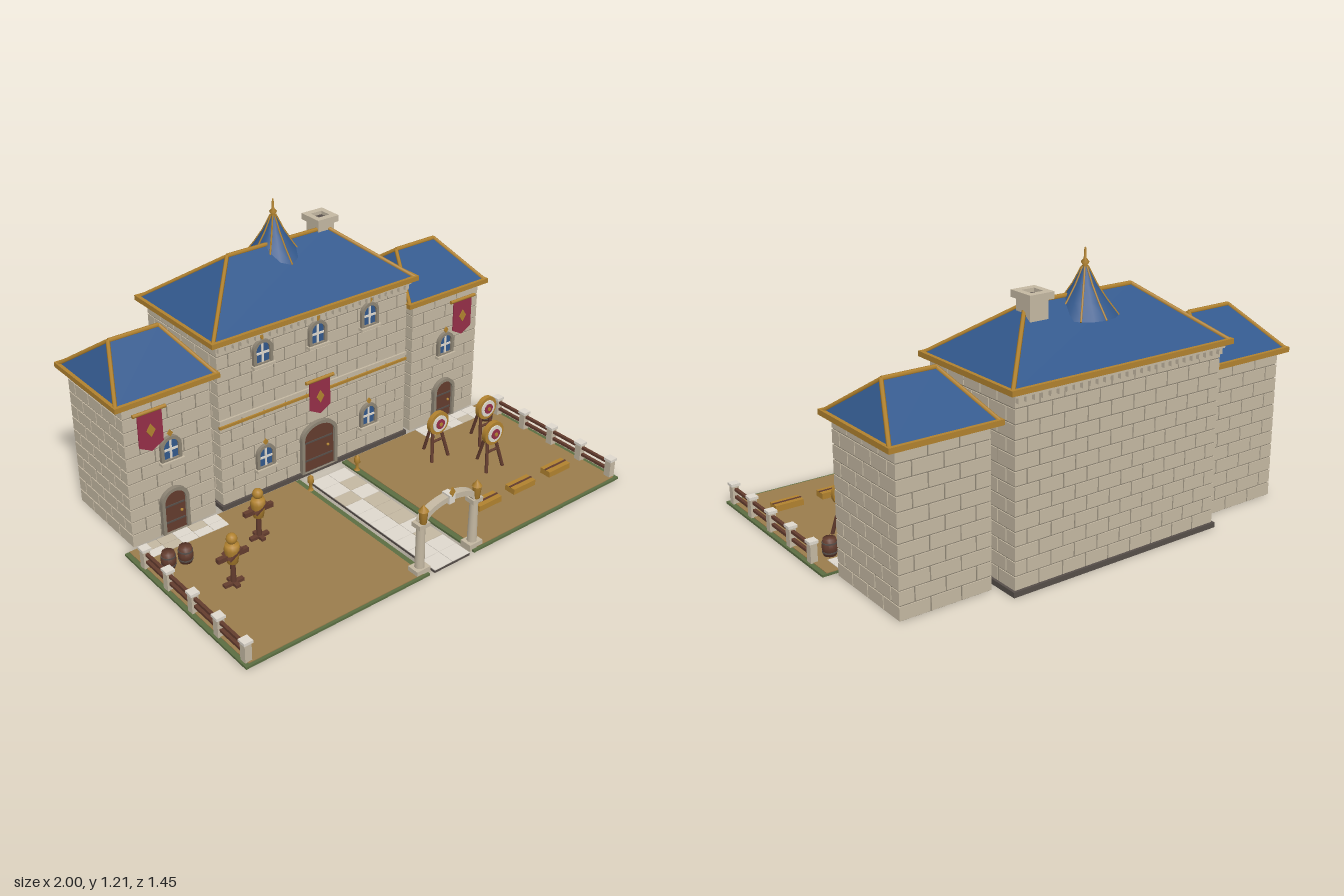
import * as THREE from 'three';
import { mergeGeometries } from 'three/addons/utils/BufferGeometryUtils.js';

const paint = (name, color) => Object.assign(new THREE.MeshStandardMaterial({ color }), { name });
const M = {
  stone: paint('stone', 0xc4b8a2), mortar: paint('mortar', 0x8d8474), dark: paint('dark slate', 0x564e49),
  roof: paint('roof blue', 0x32588c), gold: paint('gold', 0xb1822f), dirt: paint('dirt', 0x9a7c4c),
  grass: paint('grass', 0x5b6e42), wood: paint('wood', 0x633c2e), red: paint('banner red', 0x952f48),
  light: paint('pale stone', 0xded8cd),
};
M.roof.side = M.red.side = THREE.DoubleSide;

const V = (x, y, z) => new THREE.Vector3(x, y, z);
function add(parent, name, geo, mat, x = 0, y = 0, z = 0) {
  const m = new THREE.Mesh(geo, mat);
  m.name = name;
  m.position.set(x, y, z);
  parent.add(m);
  return m;
}
function group(parent, name, x = 0, y = 0, z = 0) {
  const g = new THREE.Group();
  g.name = name;
  g.position.set(x, y, z);
  parent.add(g);
  return g;
}
const box = (w, h, d) => new THREE.BoxGeometry(w, h, d);
const cyl = (a, b, h, n = 12) => new THREE.CylinderGeometry(a, b, h, n);
const lathe = (pts, n = 12) => new THREE.LatheGeometry(pts.map(p => new THREE.Vector2(...p)), n);

// Square or round bar between two points
function bar(parent, name, a, b, r, mat, sides = 6) {
  const m = add(parent, name, cyl(r, r, a.distanceTo(b), sides), mat);
  m.position.copy(a).add(b).multiplyScalar(0.5);
  m.quaternion.setFromUnitVectors(V(0, 1, 0), b.clone().sub(a).normalize());
  return m;
}

// Outline with an arched top, standing on y = base
function arch(w, h, rise, base = 0, Kind = THREE.Shape) {
  const s = new Kind();
  s.moveTo(-w / 2, base);
  s.lineTo(w / 2, base);
  s.lineTo(w / 2, h - rise);
  s.absellipse(0, h - rise, w / 2, rise, 0, Math.PI, false);
  s.closePath();
  return s;
}
const plate = (shape, depth) => new THREE.ExtrudeGeometry(shape, { depth, bevelEnabled: false, curveSegments: 10 });
const diamond = (w, h) => plate(new THREE.Shape([[0, -h], [w, 0], [0, h], [-w, 0]].map(p => new THREE.Vector2(...p))), 0.006);

// Mortar core faced with staggered blocks on all four sides
function brickBlock(parent, name, cx, cz, w, d, y0, y1) {
  const g = group(parent, name, cx, 0, cz), gap = 0.006, rows = Math.round((y1 - y0) / 0.058), rh = (y1 - y0) / rows;
  add(g, 'mortarCore', box(w - 0.008, y1 - y0, d - 0.008), M.mortar, 0, (y0 + y1) / 2, 0);
  const bricks = [];
  for (let side = 0; side < 4; side++) {
    const len = side % 2 ? d : w, off = (side % 2 ? w : d) / 2, n = Math.round(len / 0.115), bl = len / n;
    for (let r = 0; r < rows; r++) for (let i = 0; i <= n; i++) {
      const shift = r % 2 ? 0.5 : 0;
      const a = Math.max(0, (i - shift) * bl), b = Math.min(len, (i + 1 - shift) * bl);
      if (b - a < 0.01) continue;
      const lo = a === 0 ? 0 : gap / 2, hi = b === len ? 0 : gap / 2;
      const q = box(b - a - lo - hi, rh - gap, 0.008);
      q.translate((a + lo + b - hi) / 2 - len / 2, y0 + (r + 0.5) * rh, off - 0.004);
      bricks.push(q.rotateY(side * Math.PI / 2));
    }
  }
  add(g, 'wallBlocks', mergeGeometries(bricks), M.stone);
}

// Hipped roof with gold eaves, hips and ridge
function hipRoof(parent, name, cx, cz, hw, hd, ridge, y0, y1) {
  const g = group(parent, name, cx, 0, cz);
  const c = [V(-hw, y0, hd), V(hw, y0, hd), V(hw, y0, -hd), V(-hw, y0, -hd)], l = V(-ridge, y1, 0), r = V(ridge, y1, 0);
  const tris = [c[0], c[1], r, c[0], r, l, c[1], c[2], r, c[2], c[3], l, c[2], l, r, c[3], c[0], l, c[0], c[2], c[1], c[0], c[3], c[2]];
  const geo = new THREE.BufferGeometry().setFromPoints(tris);
  geo.computeVertexNormals();
  add(g, 'roofSlopes', geo, M.roof);
  c.forEach((p, i) => {
    bar(g, 'hipTrim', p, p.x < 0 ? l : r, 0.009, M.gold);
    const n = c[(i + 1) % 4], m = p.clone().add(n).multiplyScalar(0.5);
    add(g, 'eaveTrim', box(Math.abs(n.x - p.x) + 0.016, 0.022, Math.abs(n.z - p.z) + 0.016), M.gold, m.x, y0, m.z);
  });
  bar(g, 'ridgeTrim', l, r, 0.01, M.gold);
}

function windowUnit(parent, x, y, z) {
  const g = group(parent, 'window', x, y, z);
  const s = arch(0.096, 0.118, 0.045);
  s.holes.push(arch(0.068, 0.104, 0.034, 0.014, THREE.Path));
  add(g, 'windowFrame', plate(s, 0.016), M.mortar);
  add(g, 'windowGlass', plate(arch(0.07, 0.105, 0.035, 0.012), 0.006), M.roof);
  add(g, 'mullion', box(0.009, 0.09, 0.006), M.light, 0, 0.058, 0.008);
  add(g, 'crossbar', box(0.066, 0.009, 0.006), M.light, 0, 0.056, 0.008);
  add(g, 'windowSill', box(0.108, 0.012, 0.028), M.stone, 0, 0.002, 0.012);
  add(g, 'windowDiamond', diamond(0.013, 0.016), M.gold, 0, 0.132, 0.008);
}

function door(parent, x, y, z, w, h, rise) {
  const g = group(parent, 'door', x, y, z);
  const s = arch(w + 0.03, h + 0.015, rise + 0.01);
  s.holes.push(arch(w, h, rise, 0.001, THREE.Path));
  add(g, 'doorFrame', plate(s, 0.02), M.mortar);
  add(g, 'doorLeaf', plate(arch(w, h, rise), 0.008), M.wood);
  for (const f of [0.25, 0.65]) add(g, 'doorHinge', box(w * 0.9, 0.007, 0.004), M.dark, 0, h * f, 0.01);
  add(g, 'doorKnob', new THREE.SphereGeometry(0.007, 8, 6), M.gold, w * 0.3, h * 0.45, 0.012);
}

function banner(parent, x, top, z, h) {
  const g = group(parent, 'banner', x, top, z);
  const pts = [[-0.055, 0], [-0.055, 0.03 - h], [0, -h], [0.055, 0.03 - h], [0.055, 0]];
  add(g, 'bannerCloth', plate(new THREE.Shape(pts.map(p => new THREE.Vector2(...p)).reverse()), 0.006), M.red);
  add(g, 'bannerDiamond', diamond(0.02, 0.03), M.gold, 0, -0.085, 0.004);
  bar(g, 'bannerRod', V(-0.075, 0, 0.004), V(0.075, 0, 0.004), 0.008, M.gold, 8);
}

function dummy(parent, x, z) {
  const g = group(parent, 'trainingDummy', x, 0.012, z);
  add(g, 'dummyFoot', box(0.09, 0.014, 0.02), M.wood, 0, 0.007, 0);
  add(g, 'dummyFoot', box(0.02, 0.014, 0.07), M.wood, 0, 0.007, 0);
  add(g, 'dummyPost', cyl(0.01, 0.012, 0.15, 8), M.wood, 0, 0.075, 0);
  add(g, 'dummyArms', box(0.14, 0.02, 0.02), M.wood, 0, 0.138, 0);
  add(g, 'dummyTorso', lathe([[0, 0.1], [0.022, 0.105], [0.033, 0.17], [0.028, 0.19], [0, 0.197]]), M.gold);
  add(g, 'dummyHead', new THREE.SphereGeometry(0.023, 12, 8), M.gold, 0, 0.215, 0);
  const strap = add(g, 'dummyStrap', box(0.07, 0.01, 0.062), M.wood, 0, 0.155, 0);
  strap.rotation.z = 0.6;
}

function target(parent, x, z) {
  const g = group(parent, 'archeryTarget', x, 0.012, z);
  [[0.056, 0.022, M.gold], [0.04, 0.028, M.light], [0.024, 0.032, M.red], [0.009, 0.036, M.gold]].forEach(([r, t, m]) => {
    add(g, 'targetRing', cyl(r, r, t, 20).rotateX(Math.PI / 2), m, 0, 0.18, t / 2);
  });
  for (const s of [-1, 1]) bar(g, 'targetLeg', V(s * 0.05, 0, 0.035), V(s * 0.012, 0.2, -0.008), 0.008, M.wood);
  bar(g, 'targetBackLeg', V(0, 0, -0.075), V(0, 0.21, -0.01), 0.008, M.wood);
  bar(g, 'targetBrace', V(-0.035, 0.09, 0.014), V(0.035, 0.09, 0.014), 0.006, M.wood);
}

function barrel(parent, x, z) {
  const g = group(parent, 'barrel', x, 0.01, z);
  add(g, 'barrelBody', lathe([[0, 0], [0.026, 0], [0.032, 0.038], [0.026, 0.075], [0, 0.075]]), M.wood);
  for (const y of [0.018, 0.057]) add(g, 'barrelHoop', cyl(0.031, 0.031, 0.006), M.dark, 0, y, 0);
}

export function createModel() {
  const root = new THREE.Group();
  root.name = 'trainingHall';
  let seed = 7;
  const rnd = () => (seed = (seed * 16807) % 2147483647) / 2147483647;
  const tiles = (name, x0, z0, nx, nz, tw, td, y) => {
    for (let i = 0; i < nx; i++) for (let j = 0; j < nz; j++)
      add(root, name, box(tw - 0.002, 0.004, td - 0.002), rnd() < 0.35 ? M.stone : M.light, x0 + (i + 0.5) * tw, y, z0 + (j + 0.5) * td);
  };

  // Main hall
  brickBlock(root, 'mainHall', 0, -0.43, 1.01, 0.53, 0.02, 0.79);
  add(root, 'plinth', box(1.03, 0.022, 0.55), M.dark, 0, 0.011, -0.43);
  hipRoof(root, 'mainRoof', 0, -0.43, 0.535, 0.293, 0.26, 0.803, 1.02);
  add(root, 'goldBand', box(1.014, 0.012, 0.012), M.gold, 0, 0.403, -0.163);
  add(root, 'stringCourse', box(1.014, 0.014, 0.012), M.stone, 0, 0.43, -0.163);
  for (const s of [1, -1]) {
    for (let i = 0; i < 28; i++) add(root, 'dentil', box(0.018, 0.024, 0.018), M.stone, -0.4925 + i * 0.0365, 0.765, -0.43 + s * 0.272);
    add(root, 'cornice', box(1.03, 0.016, 0.02), M.stone, 0, 0.784, -0.43 + s * 0.272);
  }
  for (const x of [-0.285, 0, 0.285]) windowUnit(root, x, 0.632, -0.165);
  door(root, 0, 0.02, -0.165, 0.165, 0.228, 0.06);
  banner(root, 0, 0.475, -0.148, 0.17);

  // Turret cap with ribs and finial
  const cap = group(root, 'turretCap', 0, 0, -0.46);
  const prof = [[0.132, 0.945], [0.085, 1.005], [0.045, 1.065], [0.012, 1.13]];
  add(cap, 'turretRoof', lathe(prof, 16), M.roof);
  for (let k = 0; k < 8; k++) {
    const a = k * Math.PI / 4, at = ([r, y]) => V(r * Math.sin(a), y, r * Math.cos(a));
    for (let i = 0; i < 3; i++) bar(cap, 'turretRib', at(prof[i]), at(prof[i + 1]), 0.004, M.gold, 5);
  }
  add(cap, 'finial', lathe([[0.016, 1.115], [0.01, 1.135], [0.017, 1.147], [0.006, 1.16], [0.004, 1.2], [0, 1.205]], 10), M.gold);

  // Chimney
  const ch = group(root, 'chimney', 0.25, 0, -0.46);
  add(ch, 'chimneyStack', box(0.085, 0.16, 0.085), M.stone, 0, 0.97, 0);
  const rim = new THREE.Shape([[-0.056, -0.06], [0.056, -0.06], [0.056, 0.06], [-0.056, 0.06]].map(p => new THREE.Vector2(...p)));
  rim.holes.push(new THREE.Path([[-0.029, -0.029], [-0.029, 0.029], [0.029, 0.029], [0.029, -0.029]].map(p => new THREE.Vector2(...p))));
  add(ch, 'chimneyCap', plate(rim, 0.028).rotateX(-Math.PI / 2), M.stone, 0, 1.045, 0);
  add(ch, 'chimneyFlue', box(0.06, 0.01, 0.06), M.dark, 0, 1.052, 0);

  for (const s of [-1, 1]) {
    // Side wings
    brickBlock(root, 'wing', s * 0.745, -0.385, 0.4, 0.44, 0, 0.66);
    hipRoof(root, 'wingRoof', s * 0.745, -0.387, 0.232, 0.24, 0.115, 0.665, 0.832);
    windowUnit(root, s * 0.745, 0.345, -0.165);
    windowUnit(root, s * 0.285, 0.13, -0.165);
    door(root, s * 0.745, 0.01, -0.165, 0.1, 0.195, 0.05);
    banner(root, s * 0.835, 0.613, -0.15, 0.18);

    // Yard with paving by the wing door
    add(root, 'lawn', box(0.88, 0.01, 0.86), M.grass, s * 0.56, 0.005, 0.29);
    add(root, 'yardDirt', box(0.835, 0.004, 0.845), M.dirt, s * 0.5625, 0.011, 0.285);
    tiles('paver', s * 0.742 - 0.185, -0.14, 5, 2, 0.074, 0.048, 0.0135);

    // Fence
    for (let i = 0; i < 5; i++) {
      const z = 0.685 - i * 0.175;
      add(root, 'fencePost', box(0.03, 0.085, 0.032), M.stone, s * 0.975, 0.052, z);
      add(root, 'fencePostCap', box(0.04, 0.012, 0.04), M.light, s * 0.975, 0.097, z);
    }
    for (const y of [0.043, 0.077]) add(root, 'fenceRail', box(0.014, 0.012, 0.7), M.wood, s * 0.975, y, 0.335);

    // Gate column with lantern, and path lamp
    const col = group(root, 'gateColumn', s * 0.142, 0, 0.68);
    add(col, 'columnBase', box(0.07, 0.03, 0.055), M.stone, 0, 0.018, 0);
    add(col, 'columnShaft', cyl(0.018, 0.021, 0.2), M.stone, 0, 0.13, 0);
    add(col, 'columnCapital', box(0.054, 0.02, 0.048), M.stone, 0, 0.235, 0);
    add(col, 'gateLantern', lathe([[0, 0.245], [0.014, 0.245], [0.019, 0.3], [0.022, 0.302], [0.006, 0.322], [0, 0.332]], 8), M.gold, 0, 0, 0.012);
    add(root, 'pathLamp', lathe([[0.014, 0.01], [0.007, 0.02], [0.007, 0.045], [0.014, 0.05], [0.013, 0.075], [0, 0.088]], 8), M.gold, s * 0.13, 0, -0.045);
  }

  // Gate arch
  const ring = new THREE.Shape();
  ring.absellipse(0, 0, 0.155, 0.08, 0, Math.PI, false);
  ring.absellipse(0, 0, 0.125, 0.056, Math.PI, 0, true);
  add(root, 'gateArch', plate(ring, 0.036), M.stone, 0, 0.235, 0.66);
  add(root, 'archKeystone', box(0.03, 0.04, 0.044), M.light, 0, 0.302, 0.68);
  add(root, 'archDiamond', diamond(0.014, 0.022), M.gold, 0, 0.335, 0.697);

  // Central path
  add(root, 'pathBed', box(0.19, 0.01, 0.81), M.dark, 0, 0.005, 0.315);
  tiles('pathTile', -0.095, -0.09, 2, 10, 0.095, 0.081, 0.0115);

  // Training gear
  dummy(root, -0.51, 0.105);
  dummy(root, -0.765, 0.295);
  [[0.48, 0.085], [0.745, 0.12], [0.612, 0.3]].forEach(p => target(root, ...p));
  [[-0.905, 0.045], [-0.832, 0.055], [0.893, -0.005]].forEach(p => barrel(root, ...p));
  for (const x of [0.39, 0.597, 0.817]) {
    add(root, 'strawBale', box(0.13, 0.028, 0.055), M.gold, x, 0.026, 0.51);
    add(root, 'baleStrap', box(0.132, 0.003, 0.009), M.wood, x, 0.041, 0.51);
  }
  return root;
}
